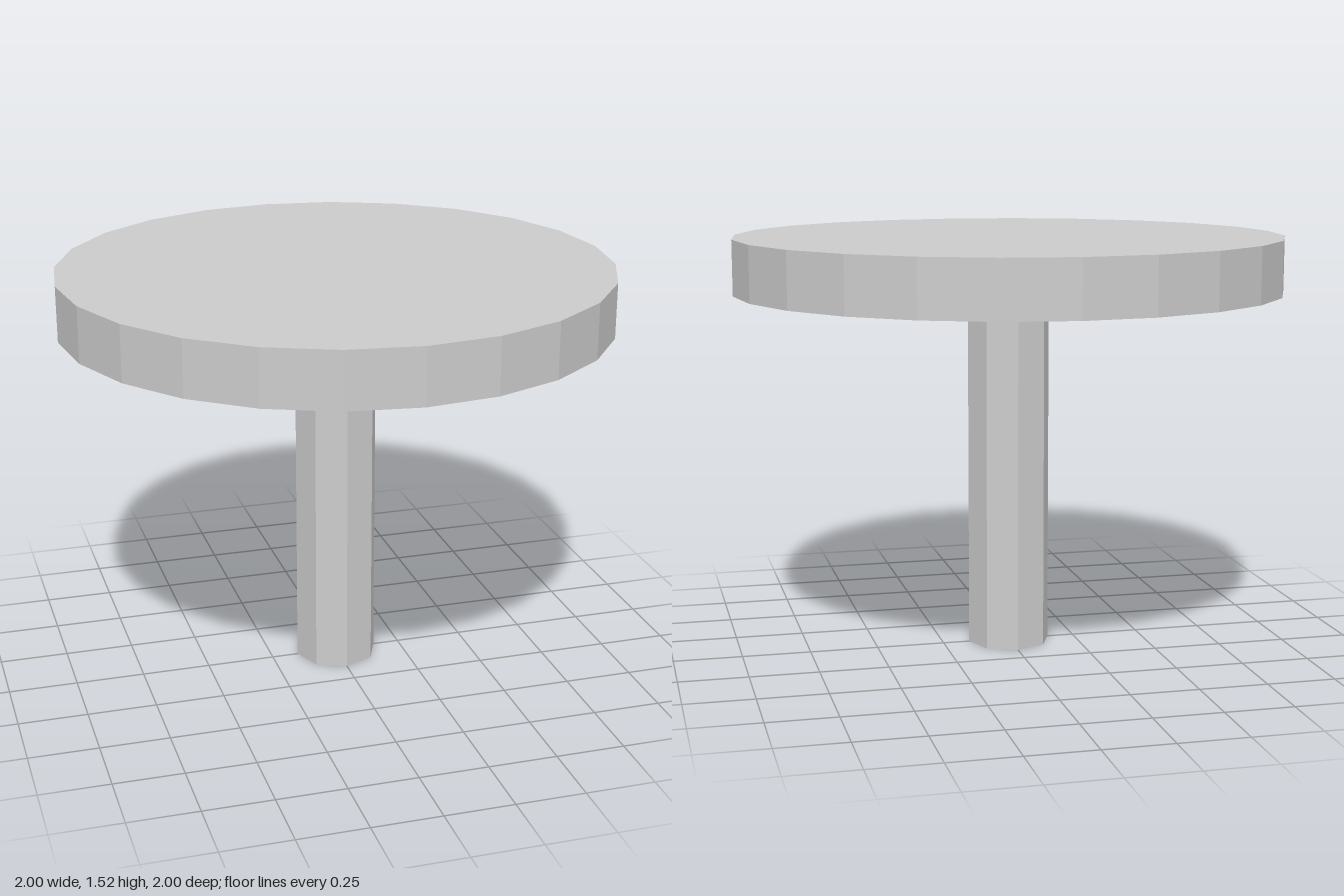
import * as THREE from 'three';

export function createModel() {
  const model = new THREE.Group();
  model.name = 'roundTable';
  const material = new THREE.MeshStandardMaterial({ color: 0xcccccc, flatShading: true });

  // Upright faceted cylinder spanning bottom to top
  function addColumn(name, radius, bottom, top, sides) {
    const mesh = new THREE.Mesh(
      new THREE.CylinderGeometry(radius, radius, top - bottom, sides),
      material
    );
    mesh.name = name;
    mesh.position.y = (bottom + top) / 2;
    model.add(mesh);
  }

  // Octagonal post standing on the ground
  addColumn('post', 0.152, 0, 1.32, 8);
  // 24-sided disc resting on the post
  addColumn('tableTop', 1, 1.32, 1.52, 24);

  return model;
}
